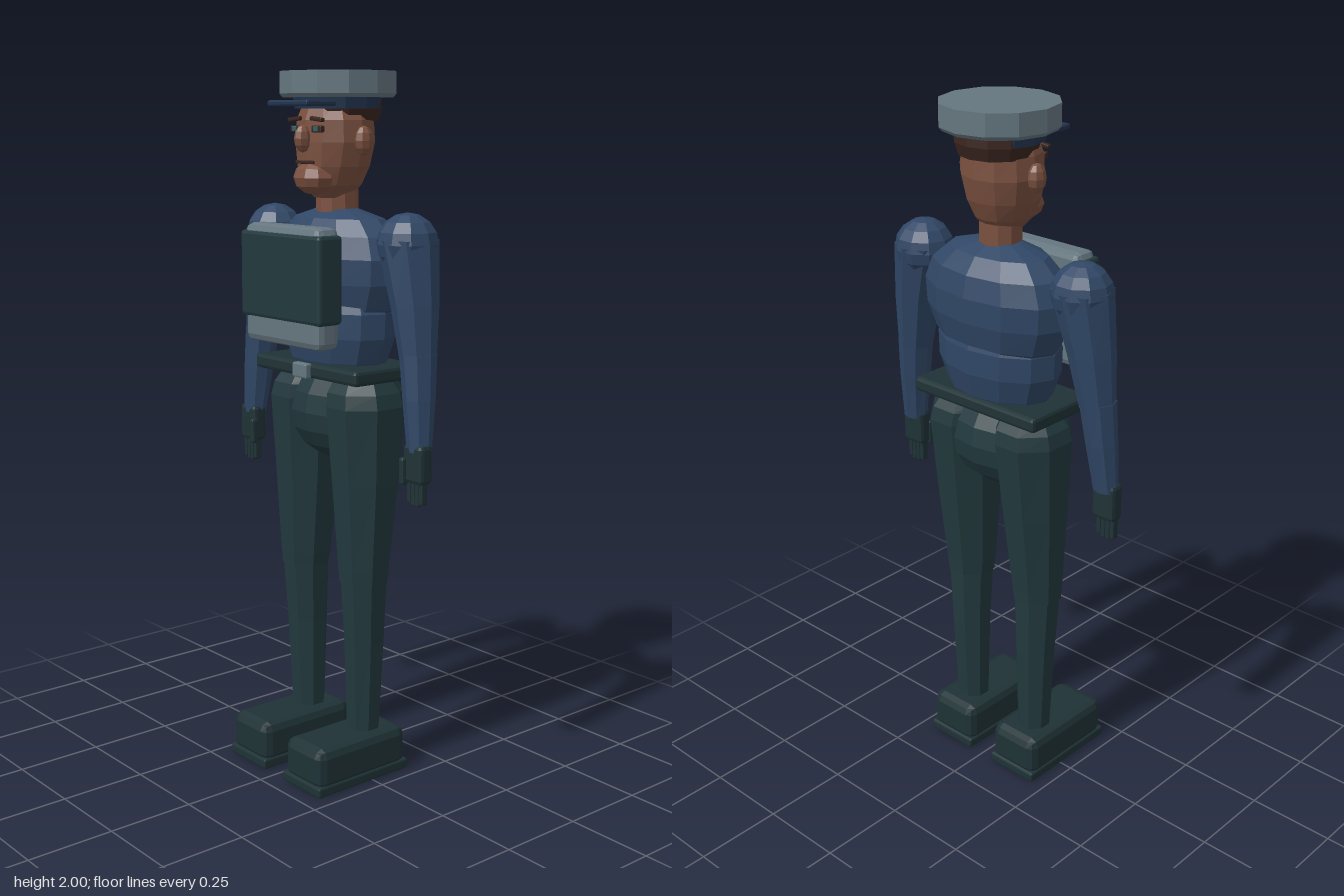
import * as THREE from 'three';
import { RoundedBoxGeometry } from 'three/addons/geometries/RoundedBoxGeometry.js';

const paint = (name, color) => {
  const m = new THREE.MeshStandardMaterial({ color, flatShading: true });
  m.name = name;
  return m;
};

export function createModel() {
  const model = new THREE.Group();
  model.name = 'uniformedFigure';
  const blue = paint('shirtBlue', 0x304766);
  const navy = paint('capNavy', 0x22344f);
  const green = paint('trouserGreen', 0x22393e);
  const dark = paint('bootDark', 0x1f3236);
  const grey = paint('grey', 0x65767f);
  const skin = paint('skin', 0x7a503f);
  const hair = paint('hairBrown', 0x3a251f);
  const eye = paint('eyeTeal', 0x2f6068);

  const add = (name, geo, mat, x = 0, y = 0, z = 0) => {
    const m = new THREE.Mesh(geo, mat);
    m.name = name;
    m.position.set(x, y, z);
    model.add(m);
    return m;
  };
  // Chamfered block given by its centre and size
  const block = (name, mat, [x, y, z], [w, h, d], r = 0.01) =>
    add(name, new RoundedBoxGeometry(w, h, d, 1, r), mat, x, y, z);
  const ball = (name, mat, [x, y, z], [rx, ry, rz], w = 12, h = 8) =>
    add(name, new THREE.SphereGeometry(1, w, h).scale(rx, ry, rz), mat, x, y, z);
  // Tapered form through cross-sections [x, y, z, rx, rz], listed from the bottom up
  const loft = (name, mat, rings, sides = 8, turn = 0) => {
    const n = rings.length - 1;
    const geo = new THREE.CylinderGeometry(1, 1, 1, sides, n, false, turn);
    const p = geo.attributes.position;
    for (let i = 0; i < p.count; i++) {
      const [x, y, z, rx, rz] = rings[Math.round((p.getY(i) + 0.5) * n)];
      p.setXYZ(i, x + p.getX(i) * rx, y, z + p.getZ(i) * rz);
    }
    return add(name, geo, mat);
  };

  // Torso
  loft('chest', blue, [
    [0, 1.30, -0.045, 0.15, 0.09], [0, 1.36, -0.048, 0.205, 0.118],
    [0, 1.43, -0.05, 0.235, 0.133], [0, 1.50, -0.05, 0.24, 0.135],
    [0, 1.56, -0.05, 0.215, 0.122], [0, 1.605, -0.045, 0.16, 0.092],
    [0, 1.63, -0.04, 0.07, 0.045]], 12);
  loft('abdomen', blue, [
    [0, 1.16, -0.04, 0.14, 0.09], [0, 1.21, -0.04, 0.17, 0.112],
    [0, 1.28, -0.042, 0.197, 0.128], [0, 1.35, -0.042, 0.2, 0.128],
    [0, 1.42, -0.042, 0.17, 0.11]], 12);
  ball('pelvis', green, [0, 1.06, -0.04], [0.2, 0.14, 0.118]);

  // Belt and buckle
  block('belt', dark, [0, 1.185, -0.035], [0.45, 0.042, 0.24]);
  block('buckle', grey, [0, 1.185, 0.09], [0.062, 0.042, 0.024], 0.005);

  // Chest pack
  block('packBody', grey, [0, 1.425, 0.127], [0.33, 0.33, 0.076], 0.02);
  block('packPanel', green, [0, 1.45, 0.13], [0.35, 0.24, 0.082], 0.01);

  // Head
  loft('neck', skin, [[0, 1.58, -0.037, 0.06, 0.06], [0, 1.72, -0.037, 0.058, 0.058]], 10);
  loft('head', skin, [
    [0, 1.66, -0.02, 0.045, 0.055], [0, 1.695, -0.02, 0.078, 0.085],
    [0, 1.745, -0.025, 0.102, 0.101], [0, 1.81, -0.03, 0.117, 0.109],
    [0, 1.87, -0.03, 0.112, 0.106], [0, 1.925, -0.03, 0.085, 0.085]], 12);
  ball('jaw', skin, [0, 1.715, 0.04], [0.068, 0.048, 0.06], 10, 6);
  ball('nose', skin, [0, 1.82, 0.085], [0.022, 0.037, 0.026], 8, 6);
  block('mouth', hair, [0, 1.757, 0.078], [0.075, 0.009, 0.009], 0.002);
  loft('hair', hair, [
    [0, 1.865, -0.05, 0.105, 0.103], [0, 1.90, -0.05, 0.117, 0.114],
    [0, 1.935, -0.05, 0.115, 0.112]], 12);

  // Cap
  loft('capBand', navy, [[0, 1.9, -0.038, 0.12, 0.12], [0, 1.94, -0.038, 0.125, 0.125]], 12);
  loft('capCrown', grey, [[0, 1.93, -0.04, 0.155, 0.155], [0, 1.94, -0.04, 0.163, 0.163],
    [0, 2, -0.04, 0.163, 0.163]], 12);
  block('capVisor', navy, [0, 1.914, 0.075], [0.175, 0.016, 0.13], 0.005);

  for (const s of [-1, 1]) {
    const side = s > 0 ? 'left' : 'right';

    // Face details
    ball(side + 'Ear', skin, [s * 0.12, 1.815, -0.03], [0.024, 0.04, 0.028], 8, 6);
    block(side + 'EyeSocket', hair, [s * 0.046, 1.846, 0.07], [0.042, 0.018, 0.014], 0.003);
    block(side + 'Eye', eye, [s * 0.046, 1.846, 0.076], [0.018, 0.014, 0.009], 0.002);
    block(side + 'Brow', hair, [s * 0.048, 1.872, 0.074], [0.05, 0.011, 0.014], 0.003)
      .rotation.z = -s * 0.1;

    // Arm
    ball(side + 'Shoulder', blue, [s * 0.288, 1.548, -0.04], [0.085, 0.083, 0.085], 10, 8);
    loft(side + 'UpperArm', blue, [
      [s * 0.343, 1.24, -0.032, 0.049, 0.05], [s * 0.322, 1.39, -0.037, 0.065, 0.066],
      [s * 0.288, 1.56, -0.04, 0.085, 0.085]]);
    loft(side + 'Forearm', blue, [
      [s * 0.367, 1.0, -0.018, 0.036, 0.032], [s * 0.355, 1.14, -0.026, 0.044, 0.045],
      [s * 0.343, 1.26, -0.032, 0.05, 0.052]]);

    // Gloved hand with fingers and thumb
    block(side + 'Hand', dark, [s * 0.368, 0.967, -0.012], [0.075, 0.11, 0.045], 0.012);
    for (let i = 0; i < 4; i++)
      block(side + 'Finger' + i, dark, [s * (0.346 + i * 0.0155), 0.888 + (i % 3 ? 0 : 0.006), -0.01],
        [0.0145, 0.075, 0.022], 0.004);
    block(side + 'Thumb', dark, [s * 0.336, 0.945, 0.01], [0.02, 0.075, 0.022], 0.006);

    // Leg
    loft(side + 'Thigh', green, [
      [s * 0.132, 0.58, -0.028, 0.073, 0.072], [s * 0.131, 0.62, -0.028, 0.077, 0.076],
      [s * 0.128, 0.87, -0.036, 0.096, 0.1], [s * 0.125, 1.09, -0.04, 0.108, 0.122],
      [s * 0.12, 1.13, -0.04, 0.103, 0.114], [s * 0.115, 1.165, -0.04, 0.085, 0.09]], 8, Math.PI / 8);
    loft(side + 'Shin', green, [
      [s * 0.126, 0.1, -0.032, 0.049, 0.047], [s * 0.13, 0.4, -0.032, 0.06, 0.06],
      [s * 0.132, 0.6, -0.028, 0.07, 0.07]], 8, Math.PI / 8);

    // Boot
    block(side + 'Boot', dark, [s * 0.126, 0.073, 0.033], [0.164, 0.124, 0.326], 0.026);
    block(side + 'Sole', dark, [s * 0.126, 0.015, 0.033], [0.168, 0.03, 0.336], 0.006);
  }
  return model;
}
